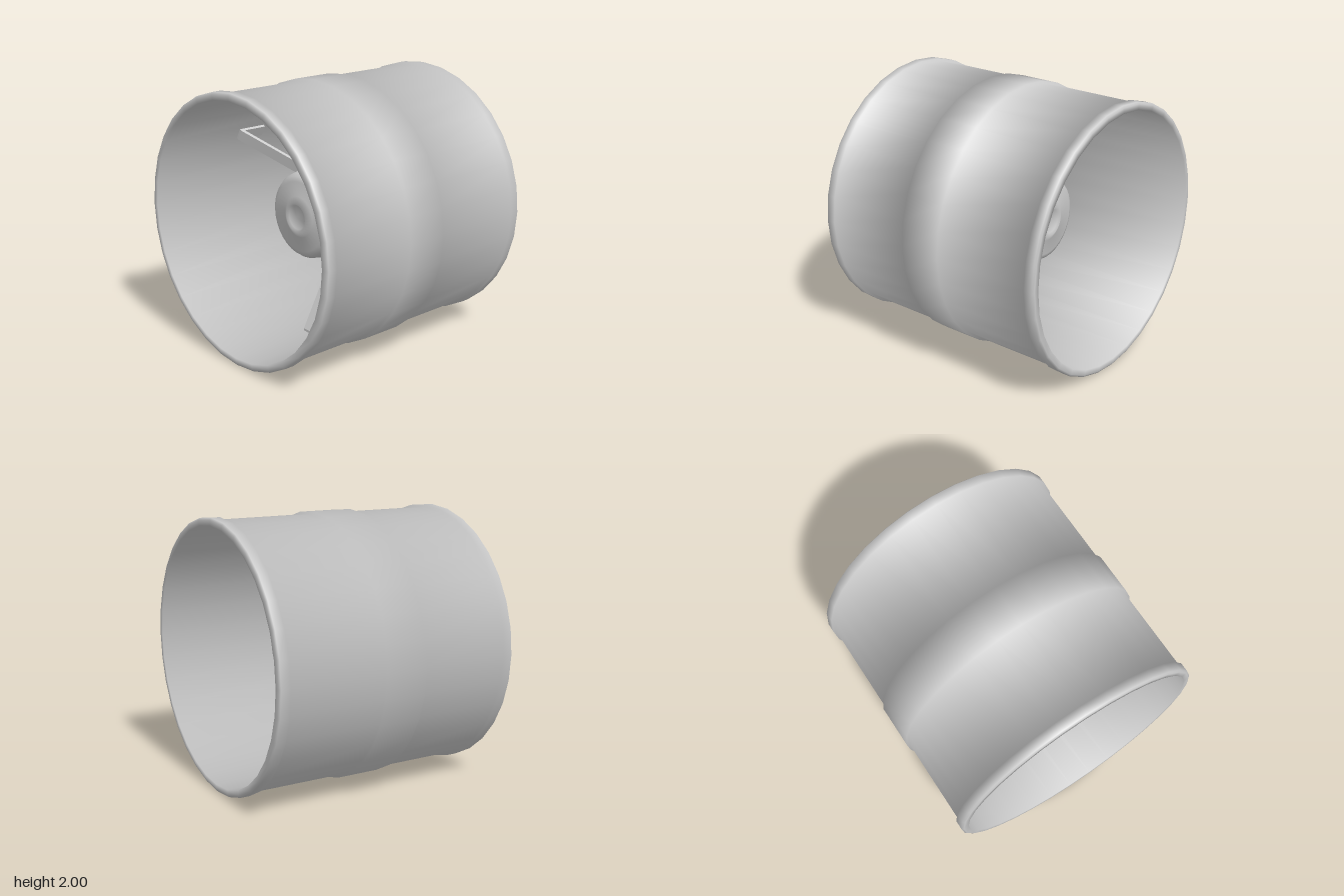
import * as THREE from 'three';

// Lathe around z; blends unit face normals at every profile corner for soft edges.
function softLathe(profile, segments, closed) {
  const pts = profile.map(([r, z]) => new THREE.Vector2(r, z));
  const geo = new THREE.LatheGeometry(pts, segments);
  const n = pts.length;
  const face = pts.slice(1).map((p, i) => {
    const d = p.clone().sub(pts[i]).normalize();
    return new THREE.Vector2(d.y, -d.x);
  });
  const corner = pts.map((_, j) => {
    const a = face[j - 1] ?? (closed ? face[n - 2] : face[0]);
    const b = face[j] ?? (closed ? face[0] : face[n - 2]);
    return a.clone().add(b).normalize();
  });
  const normal = geo.attributes.normal;
  for (let i = 0; i <= segments; i++) {
    const a = (i / segments) * Math.PI * 2;
    corner.forEach((c, j) =>
      normal.setXYZ(i * n + j, c.x * Math.sin(a), c.y, c.x * Math.cos(a)));
  }
  return geo.rotateX(Math.PI / 2);
}

export function createModel() {
  const model = new THREE.Group();
  model.name = 'ductFan';
  const grey = new THREE.MeshStandardMaterial({ color: 0xcccccc });
  const add = (parent, geo, name) => {
    const mesh = new THREE.Mesh(geo, grey);
    mesh.name = name;
    parent.add(mesh);
    return mesh;
  };

  const assembly = new THREE.Group();
  assembly.name = 'ductAssembly';
  assembly.position.y = 1;
  model.add(assembly);

  // Open duct with end rims and a wide middle band
  add(assembly, softLathe([
    [0.945, -0.95], [0.985, -0.95], [1, -0.94], [1, -0.87], [0.98, -0.87],
    [0.98, -0.13], [1, -0.13], [1, 0.195], [0.98, 0.195],
    [0.98, 0.87], [1, 0.87], [1, 0.94], [0.985, 0.95], [0.945, 0.95],
    [0.945, -0.95],
  ], 32, true), 'ductShell');

  // Central motor hub, same cap at both ends
  const cap = [[0, 0.36], [0.09, 0.36], [0.105, 0.375], [0.155, 0.345],
    [0.265, 0.34], [0.3, 0.325], [0.32, 0.295], [0.33, 0.25]];
  const back = cap.map(([r, z]) => [r, -z]);
  add(assembly, softLathe([...back, ...cap.slice().reverse()], 32, false), 'motorHub');

  // Three bent brackets: hub tab, leaning arm, foot on the duct wall
  const bracket = new THREE.Shape([
    [0.32, 0.12], [0.32, -0.08], [0.345, -0.08], [0.92, 0.23],
    [0.92, 0.03], [0.95, 0.03], [0.95, 0.265], [0.925, 0.265],
    [0.345, -0.05], [0.345, 0.12],
  ].map(([r, z]) => new THREE.Vector2(r, z)));
  const width = 0.09;
  const bracketGeo = new THREE.ExtrudeGeometry(bracket, { depth: width, bevelEnabled: false });
  bracketGeo.translate(0, 0, -width / 2).rotateX(Math.PI / 2);
  [30, 150, 270].forEach((deg, i) => {
    const arm = add(assembly, bracketGeo, `supportBracket${i + 1}`);
    arm.rotation.z = THREE.MathUtils.degToRad(deg);
  });

  return model;
}
